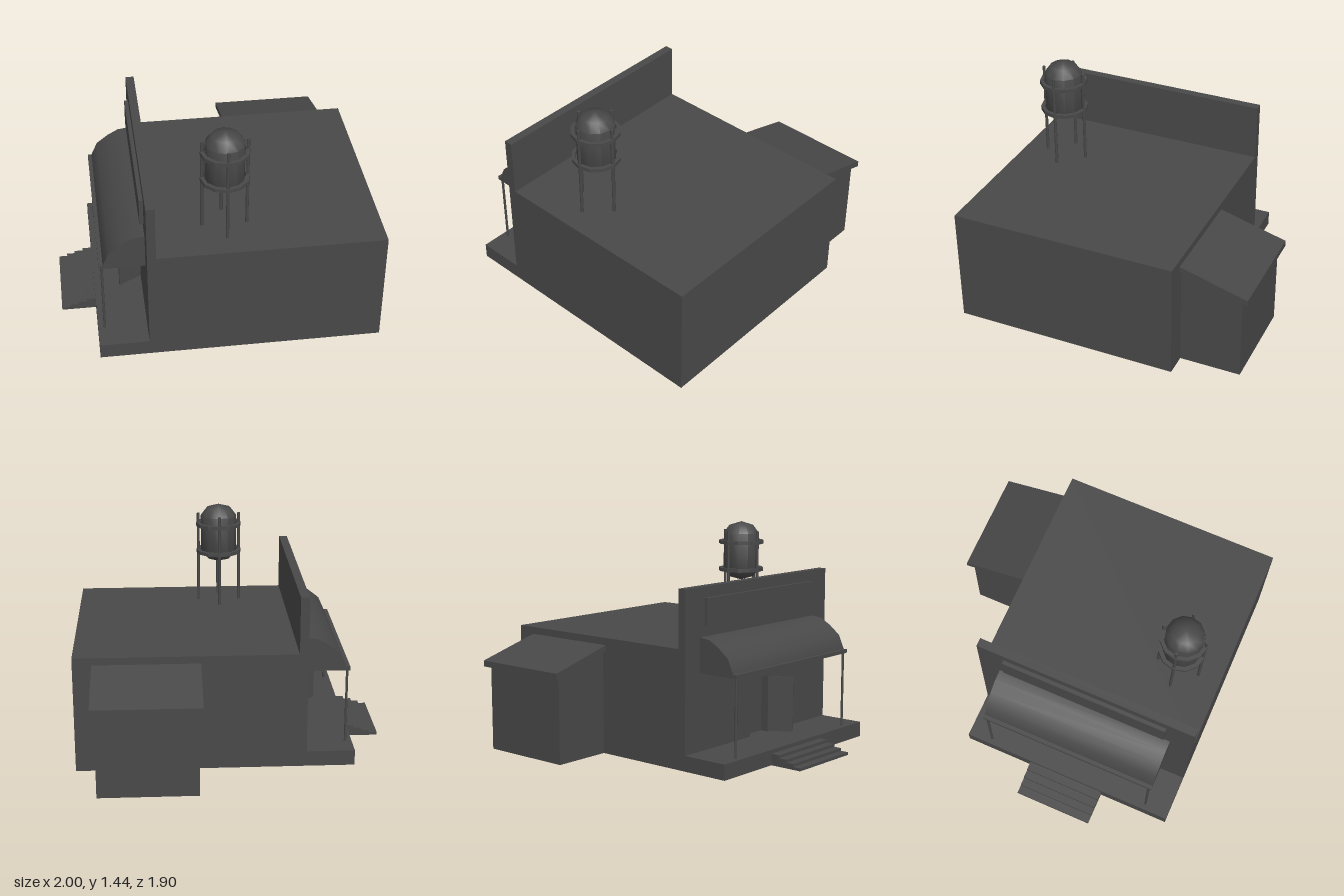
import * as THREE from 'three';
import { toCreasedNormals } from 'three/addons/utils/BufferGeometryUtils.js';

const DARK = 0x484848;

export function createModel() {
  const model = new THREE.Group();
  const material = new THREE.MeshStandardMaterial({ color: DARK });

  const add = (name, geometry, parent = model) => {
    const mesh = new THREE.Mesh(geometry, material);
    mesh.name = name;
    parent.add(mesh);
    return mesh;
  };
  // Box given by its limits on each axis
  const box = (name, [x0, x1], [y0, y1], [z0, z1], parent) => {
    const g = new THREE.BoxGeometry(x1 - x0, y1 - y0, z1 - z0);
    g.translate((x0 + x1) / 2, (y0 + y1) / 2, (z0 + z1) / 2);
    return add(name, g, parent);
  };
  const shapeOf = pts => new THREE.Shape(pts.map(p => new THREE.Vector2(...p)));
  // (x, y) outline drawn out along z
  const alongZ = (shape, z0, z1) =>
    new THREE.ExtrudeGeometry(shape, { depth: z1 - z0, bevelEnabled: false }).translate(0, 0, z0);
  // (z, y) outline drawn out along x
  const alongX = (shape, x0, x1) =>
    new THREE.ExtrudeGeometry(shape, { depth: x1 - x0, bevelEnabled: false })
      .rotateY(-Math.PI / 2).translate(x1, 0, 0);

  // Main hall and porch deck
  box('hall', [-0.415, 1], [0, 0.76], [-0.52, 0.95]);
  box('porchDeck', [-0.78, -0.47], [0, 0.1], [-0.52, 0.95]);

  // Tall false front with a doorway
  const facade = shapeOf([[-0.52, 0], [0.95, 0], [0.95, 1.13], [-0.52, 1.13]]);
  facade.holes.push(shapeOf([[0.125, 0.1], [0.125, 0.48], [0.315, 0.48], [0.315, 0.1]]));
  add('falseFront', alongX(facade, -0.47, -0.415));
  box('signBoard', [-0.495, -0.47], [0.885, 1.06], [-0.34, 0.765]);

  // Door standing open on its hinge
  const door = new THREE.Group();
  door.name = 'door';
  door.position.set(-0.475, 0, 0.315);
  door.rotation.y = Math.atan2(0.08, 0.14);
  box('doorLeaf', [-0.162, 0], [0.107, 0.475], [-0.005, 0.005], door);
  model.add(door);

  // Curved awning with its front rail and posts
  const awning = shapeOf([[-0.47, 0.595], [-0.47, 0.82], [-0.545, 0.81], [-0.615, 0.77],
    [-0.69, 0.71], [-0.73, 0.62], [-0.73, 0.595]]);
  add('awning', toCreasedNormals(alongZ(awning, -0.38, 0.805), 0.6));
  box('awningRail', [-0.755, -0.73], [0.595, 0.62], [-0.38, 0.805]);
  for (const z of [-0.36, 0.785]) {
    add('porchPost', new THREE.CylinderGeometry(0.008, 0.008, 0.5, 8).translate(-0.738, 0.35, z));
  }

  // Front steps
  const stepX = [-1, -0.945, -0.893, -0.838, -0.78];
  const stepY = [0.018, 0.036, 0.055, 0.074];
  stepY.forEach((y, i) => box('step', [stepX[i], stepX[i + 1]], [0, y], [-0.052, 0.475]));

  // Lean-to shed with a sloping roof
  add('shed', alongX(shapeOf([[-0.915, 0], [-0.52, 0], [-0.52, 0.68], [-0.915, 0.57]]), 0.225, 0.855));
  add('shedRoof', alongX(shapeOf([[-0.955, 0.553], [-0.52, 0.675], [-0.52, 0.713], [-0.955, 0.592]]), 0.2, 0.88));

  // Water tower: tank, hoops and legs
  const tower = new THREE.Group();
  tower.name = 'waterTower';
  tower.position.set(0.035, 0, 0.66);
  model.add(tower);
  const tank = [[0, 1.04], [0.08, 1.063], [0.122, 1.11], [0.122, 1.365], [0.083, 1.417], [0, 1.443]];
  const lathe = new THREE.LatheGeometry(tank.map(p => new THREE.Vector2(...p)), 12);
  add('tank', toCreasedNormals(lathe, 0.75), tower);
  for (const y of [1.115, 1.303]) {
    const h = 0.012;
    const hoop = [[0.13, y - h], [0.154, y - h], [0.154, y + h], [0.13, y + h], [0.13, y - h]];
    const g = new THREE.LatheGeometry(hoop.map(p => new THREE.Vector2(...p)), 12);
    add('hoop', toCreasedNormals(g, 0.3), tower);
  }
  for (let i = 0; i < 4; i++) {
    const a = i * Math.PI / 2;
    add('towerLeg', new THREE.CylinderGeometry(0.01, 0.01, 0.62, 8)
      .translate(0.14 * Math.cos(a), 1.07, 0.14 * Math.sin(a)), tower);
  }
  return model;
}
